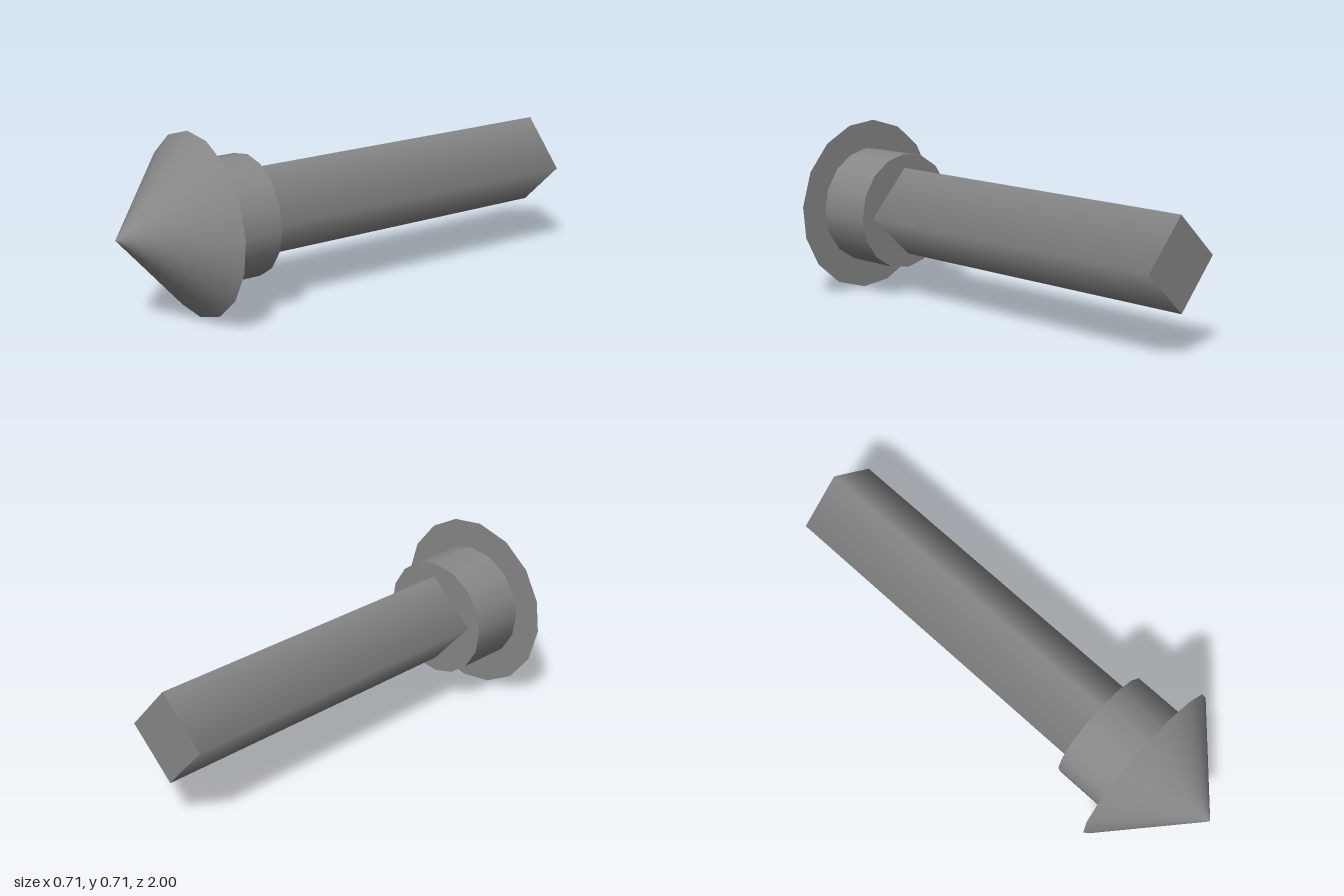
import * as THREE from 'three';

const AXIS_Y = 0.354;

export function createModel() {
  const group = new THREE.Group();
  const material = new THREE.MeshStandardMaterial({ color: 0x888888 });

  // Adds a capped prism or cone lying along z, turned by roll degrees about its axis
  function addPart(name, frontRadius, backRadius, zBack, zFront, sides, roll, rings = 1) {
    const geometry = new THREE.CylinderGeometry(frontRadius, backRadius, zFront - zBack, sides, rings);
    geometry.rotateX(Math.PI / 2);

    // The sides are slightly uneven within each quarter turn
    const position = geometry.attributes.position;
    for (let i = 0; i < position.count; i++) {
      const x = position.getX(i), y = position.getY(i);
      const angle = Math.atan2(y, x);
      const turned = angle + THREE.MathUtils.degToRad(roll + 1.8 * Math.abs(Math.sin(2 * angle)));
      const radius = Math.hypot(x, y);
      position.setXY(i, radius * Math.cos(turned), radius * Math.sin(turned));
    }
    geometry.attributes.normal.applyNormalMatrix(
      new THREE.Matrix3().setFromMatrix4(new THREE.Matrix4().makeRotationZ(THREE.MathUtils.degToRad(roll)))
    );

    const mesh = new THREE.Mesh(geometry, material);
    mesh.name = name;
    mesh.position.set(0, AXIS_Y, (zBack + zFront) / 2);
    group.add(mesh);
  }

  // Pointed head, ringed for smooth shading up to the tip
  addPart('headCone', 0, 0.355, 0.67, 1, 16, 4.9, 8);
  // Collar behind the head
  addPart('collar', 0.238, 0.238, 0.435, 0.67, 16, -2.4);
  // Four-sided shaft standing on its corner
  addPart('shaft', 0.181, 0.181, -1, 0.435, 4, -2.4);

  return group;
}
